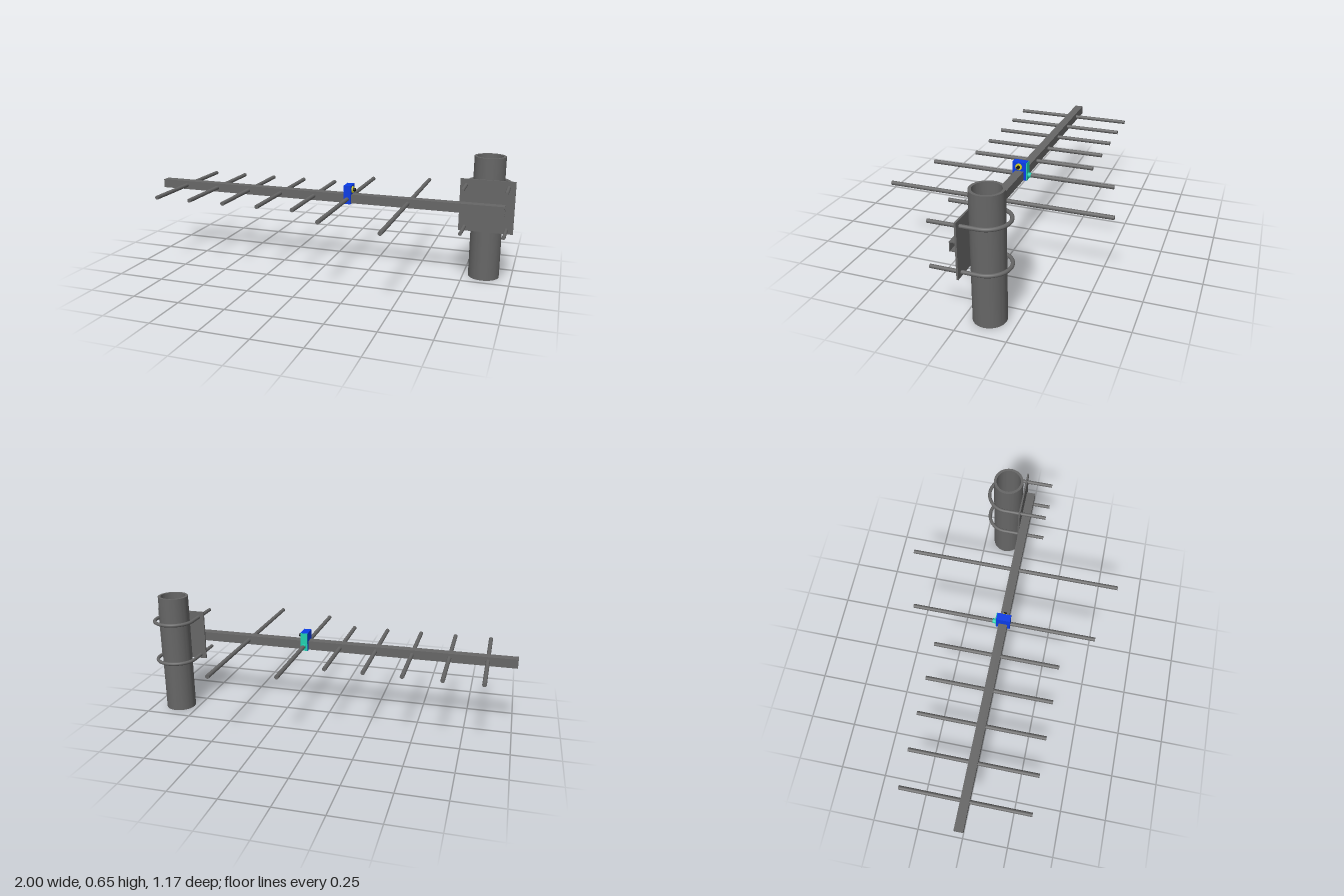
import * as THREE from 'three';
import { toCreasedNormals } from 'three/addons/utils/BufferGeometryUtils.js';

const material = (color) => new THREE.MeshStandardMaterial({ color });
const metal = material(0x666666);
const blue = material(0x0a3ce6);
const teal = material(0x20d0b0);
const yellow = material(0xe0d820);
const black = material(0x181818);

const BOOM_Y = 0.4;
const MAST_X = 0.857;
const MAST_Z = -0.117;

export function createModel() {
  const model = new THREE.Group();
  model.name = 'yagiAntenna';

  const add = (name, geometry, mat, x, y, z, parent = model) => {
    const mesh = new THREE.Mesh(geometry, mat);
    mesh.name = name;
    mesh.position.set(x, y, z);
    parent.add(mesh);
    return mesh;
  };
  const rodZ = (radius, length) =>
    new THREE.CylinderGeometry(radius, radius, length, 20).rotateX(Math.PI / 2);
  const rodX = (radius, length) =>
    new THREE.CylinderGeometry(radius, radius, length, 24).rotateZ(Math.PI / 2);

  // Boom: hollow square tube along x
  const square = (Target, h) => {
    const s = new Target();
    s.moveTo(-h, -h).lineTo(h, -h).lineTo(h, h).lineTo(-h, h).closePath();
    return s;
  };
  const section = square(THREE.Shape, 0.024);
  section.holes.push(square(THREE.Path, 0.019));
  const boom = new THREE.ExtrudeGeometry(section, { depth: 1.955, bevelEnabled: false });
  add('boom', boom.rotateY(Math.PI / 2), metal, -1, BOOM_Y, 0);

  // Cross rods: five directors, the driven element and the reflector
  [-0.848, -0.651, -0.455, -0.259, -0.063].forEach((x) =>
    add('director', rodZ(0.011, 0.685), metal, x, BOOM_Y, 0));
  add('drivenElement', rodZ(0.011, 1.01), metal, 0.133, BOOM_Y, 0);
  add('reflector', rodZ(0.011, 1.166), metal, 0.46, BOOM_Y, 0);

  // Feed box around the boom, with its back cover and rod collar
  const feed = new THREE.Group();
  feed.name = 'feedBox';
  feed.position.set(0.133, 0.423, 0);
  model.add(feed);
  add('housing', new THREE.BoxGeometry(0.04, 0.1, 0.076), blue, 0, 0, 0, feed);
  add('backCover', new THREE.BoxGeometry(0.038, 0.098, 0.004), teal, 0, 0, -0.04, feed);
  add('rodCollar', rodZ(0.013, 0.02), teal, 0, BOOM_Y - 0.423, -0.05, feed);

  // Cable socket on the side of the feed box
  add('socketRing', rodX(0.018, 0.006), yellow, 0.022, 0.025, 0.003, feed);
  add('socketPin', rodX(0.009, 0.018), black, 0.029, 0.025, 0.003, feed);

  // Mast: open pipe
  const profile = [[0.067, 0], [0.081, 0], [0.081, 0.653], [0.067, 0.653], [0.067, 0]]
    .map(([r, y]) => new THREE.Vector2(r, y));
  const pipe = toCreasedNormals(new THREE.LatheGeometry(profile, 64), Math.PI / 5);
  add('mast', pipe, metal, MAST_X, 0, MAST_Z);

  // Mounting plate between boom and mast
  add('mountingPlate', new THREE.BoxGeometry(0.278, 0.275, 0.009), metal, 0.861, 0.407, -0.0305);

  // U-bolts: half ring behind the mast and two straight legs
  const bend = 0.1065;
  const boltRadius = 0.0095;
  const legLength = 0.116 - MAST_Z;
  [0.291, 0.514].forEach((y) => {
    const bolt = new THREE.Group();
    bolt.name = 'uBolt';
    bolt.position.set(MAST_X + 0.002, y, MAST_Z);
    model.add(bolt);
    const arc = new THREE.TorusGeometry(bend, boltRadius, 16, 48, Math.PI).rotateX(-Math.PI / 2);
    add('boltBend', arc, metal, 0, 0, 0, bolt);
    [-1, 1].forEach((side) =>
      add('boltLeg', rodZ(boltRadius, legLength), metal, side * bend, 0, legLength / 2, bolt));
  });

  return model;
}
